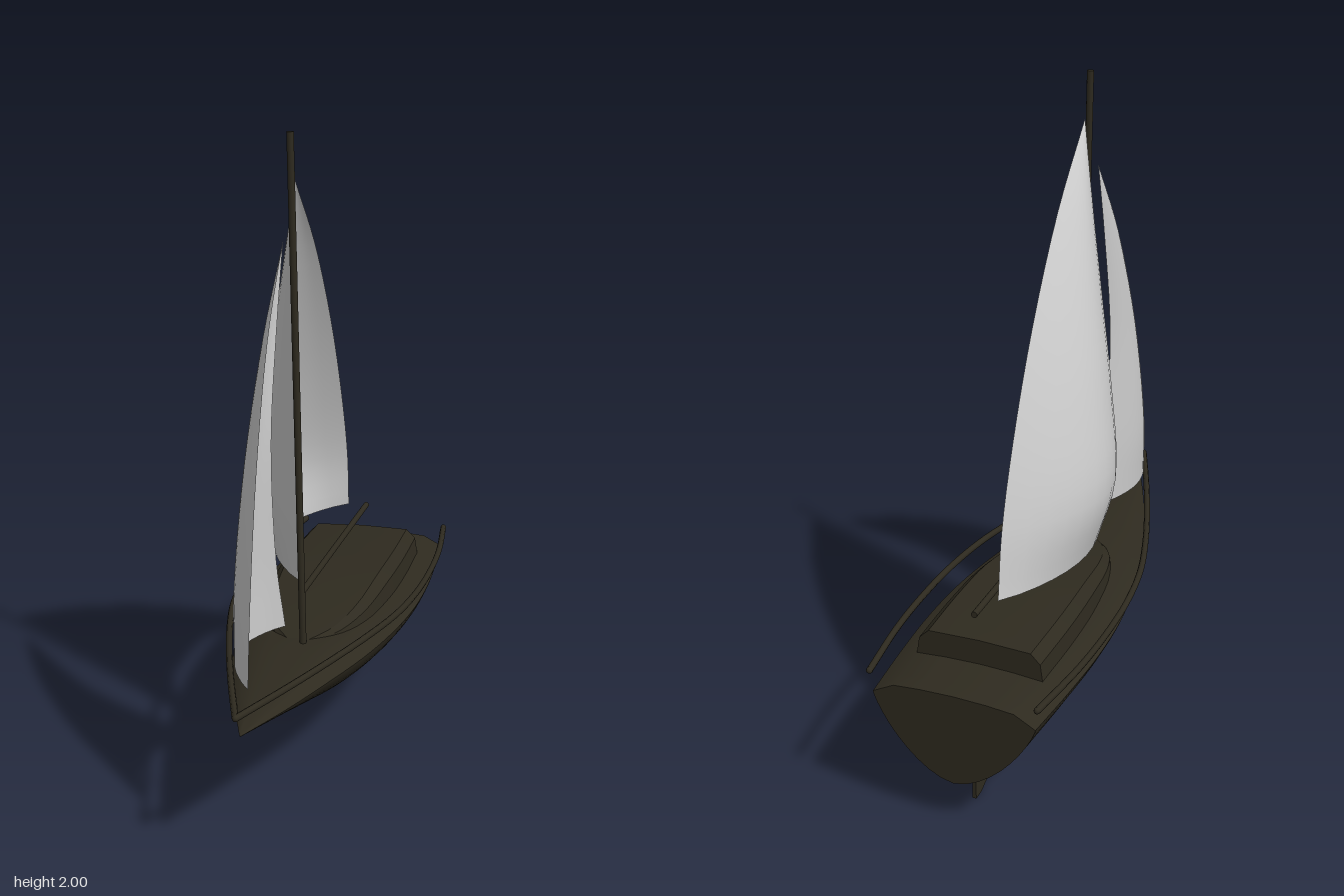
import * as THREE from 'three';
import { toCreasedNormals } from 'three/addons/utils/BufferGeometryUtils.js';

const V = (x, y, z) => new THREE.Vector3(x, y, z);
const dark = new THREE.MeshStandardMaterial({ color: 0x2e2a1f, side: THREE.DoubleSide });
const cloth = new THREE.MeshStandardMaterial({ color: 0xcccccc, side: THREE.DoubleSide });

function add(parent, name, geometry, material = dark) {
  const mesh = new THREE.Mesh(geometry, material);
  mesh.name = name;
  parent.add(mesh);
  return mesh;
}

// Skin over cross-sections; closed rings run counter-clockwise seen from +z
function loft(rings, closed) {
  const n = rings[0].length;
  const index = [];
  for (let i = 0; i < rings.length - 1; i++) {
    for (let j = 0; j < (closed ? n : n - 1); j++) {
      const k = (j + 1) % n;
      const a = i * n + j, b = i * n + k, c = (i + 1) * n + k, d = (i + 1) * n + j;
      index.push(a, b, c, a, c, d);
    }
  }
  if (closed) {
    const e = (rings.length - 1) * n;
    for (let j = 1; j < n - 1; j++) index.push(0, j + 1, j, e, e + j, e + j + 1);
  }
  const g = new THREE.BufferGeometry().setFromPoints(rings.flat());
  g.setIndex(index);
  g.computeVertexNormals();
  return g;
}

// Smooth run of stations from [a, b, z] triples
const stations = (rows, count) =>
  new THREE.CatmullRomCurve3(rows.map(r => V(...r))).getPoints(count);

// Straight round spar between two points
function spar(parent, name, from, to, radius) {
  const dir = to.clone().sub(from);
  const mesh = add(parent, name, new THREE.CylinderGeometry(radius, radius, dir.length(), 10));
  mesh.position.copy(from).add(to).multiplyScalar(0.5);
  mesh.quaternion.setFromUnitVectors(V(0, 1, 0), dir.normalize());
}

// Sail between a luff and a leech, with its belly pushed towards -x
function sail(parent, name, luff, leech, belly) {
  const rows = 20, cols = 14;
  const front = new THREE.CatmullRomCurve3(luff.map(p => V(...p)));
  const back = new THREE.CatmullRomCurve3(leech.map(p => V(...p)));
  const depth = new THREE.CatmullRomCurve3(belly.map((b, i) => V(b, i, 0)));
  const rings = [];
  for (let i = 0; i <= rows; i++) {
    const t = i / rows, a = front.getPoint(t), b = back.getPoint(t), d = depth.getPoint(t).x;
    rings.push(Array.from({ length: cols + 1 }, (_, j) => {
      const u = j / cols, p = a.clone().lerp(b, u);
      p.x -= d * Math.pow(Math.max(0, Math.sin(Math.PI * u)), 0.85);
      return p;
    }));
  }
  add(parent, name, loft(rings, false), cloth);
}

export function createModel() {
  const boat = new THREE.Group();
  boat.name = 'sailboat';

  // Body heels and pitches slightly as one unit
  const body = new THREE.Group();
  body.name = 'body';
  body.position.set(0.012, 0.43, 0);
  body.rotation.set(-0.03, 0.036, 0.033);
  boat.add(body);

  // Hull: half-width, keel height, z
  const hullRows = [
    [0.25, -0.27, -0.83], [0.27, -0.257, -0.6], [0.28, -0.248, -0.4], [0.275, -0.234, -0.2],
    [0.25, -0.21, 0], [0.207, -0.171, 0.2], [0.146, -0.117, 0.4], [0.078, -0.063, 0.6], [0.002, -0.022, 0.79],
  ];
  const edge = -0.02;
  const hullRings = stations(hullRows, 32).map(({ x: w, y: keel, z }) => {
    const ring = [];
    for (let j = -10; j <= 10; j++) {
      const s = Math.sin(j / 10 * Math.PI / 2), u = Math.abs(s);
      ring.push(V(w * s, edge + (keel - edge) * Math.pow(Math.max(0, 1 - Math.pow(u, 1.7)), 0.8), z));
    }
    const crown = Math.min(1, w / 0.2);
    for (const [s, h] of [[0.74, 0.035], [0.4, 0.042], [0, 0.045], [-0.4, 0.042], [-0.74, 0.035]])
      ring.push(V(w * s, edge + h * crown, z));
    return ring;
  });
  add(body, 'hull', toCreasedNormals(loft(hullRings, true), 0.6));

  // Cabin: half-width, roof height, z
  const cabinRows = [
    [0.2, 0.104, -0.65], [0.206, 0.107, -0.42], [0.2, 0.104, -0.22],
    [0.17, 0.07, 0], [0.115, 0.042, 0.13], [0.02, 0.02, 0.22],
  ];
  const half = [[1, 0], [0.95, 0.66], [0.8, 0.95]];
  const cabinRings = stations(cabinRows, 18).map(({ x: w, y: h, z }) => [
    ...half.map(([s, t]) => V(w * s, h * t, z)),
    V(0, h, z),
    ...half.slice().reverse().map(([s, t]) => V(-w * s, h * t, z)),
  ]);
  add(body, 'cabin', toCreasedNormals(loft(cabinRings, true), 0.4));

  // Guard rails from bow to stern on both sides
  const railRows = [
    [0.256, -0.835], [0.286, -0.6], [0.296, -0.4], [0.292, -0.2], [0.268, 0],
    [0.218, 0.2], [0.155, 0.4], [0.085, 0.6], [0, 0.825],
  ];
  for (const [name, side] of [['leftRail', 1], ['rightRail', -1]]) {
    const path = new THREE.CatmullRomCurve3(railRows.map(([x, z]) => V(side * x, 0.05, z)));
    add(body, name, new THREE.TubeGeometry(path, 40, 0.01, 8));
    // End plugs
    for (const [x, z] of [railRows[0], railRows[railRows.length - 1]])
      add(body, name + 'End', new THREE.SphereGeometry(0.01, 8, 6)).position.set(side * x, 0.05, z);
  }

  // Rudder: side outline in (z, y), thin in x
  const outline = [[-0.64, 0.14], [-0.69, 0.135], [-0.69, 0], [-0.655, 0.003], [-0.605, 0.03]];
  const shape = new THREE.Shape(outline.map(([z, y]) => new THREE.Vector2(-z, y)));
  const blade = new THREE.ExtrudeGeometry(shape, { depth: 0.012, bevelEnabled: false });
  blade.rotateY(Math.PI / 2);
  add(boat, 'rudder', blade).position.x = -0.014;

  // Mast and boom
  spar(boat, 'mast', V(0.043, 0.45, 0.222), V(-0.006, 2, 0.18), 0.0105);
  spar(boat, 'boom', V(0.036, 0.622, 0.215), V(0, 0.593, -0.65), 0.01);

  // Sails
  sail(boat, 'mainSail',
    [[0.03, 0.65, 0.2], [0.025, 0.85, 0.195], [0.018, 1.1, 0.185], [0.012, 1.37, 0.175], [0.004, 1.65, 0.163], [0, 1.86, 0.155]],
    [[-0.045, 0.615, -0.585], [-0.038, 0.81, -0.54], [-0.032, 1.05, -0.445], [-0.022, 1.34, -0.286], [-0.01, 1.63, -0.074], [0, 1.86, 0.153]],
    [0.17, 0.222, 0.19, 0.13, 0.06, 0]);
  sail(boat, 'jib',
    [[0.05, 0.555, 0.745], [0.042, 0.76, 0.7], [0.027, 1.13, 0.59], [0.008, 1.46, 0.43], [-0.008, 1.7, 0.245]],
    [[0.005, 0.535, 0.278], [-0.012, 0.76, 0.31], [-0.018, 1.13, 0.33], [-0.014, 1.46, 0.285], [-0.008, 1.7, 0.243]],
    [0.092, 0.085, 0.055, 0.025, 0]);

  return boat;
}
